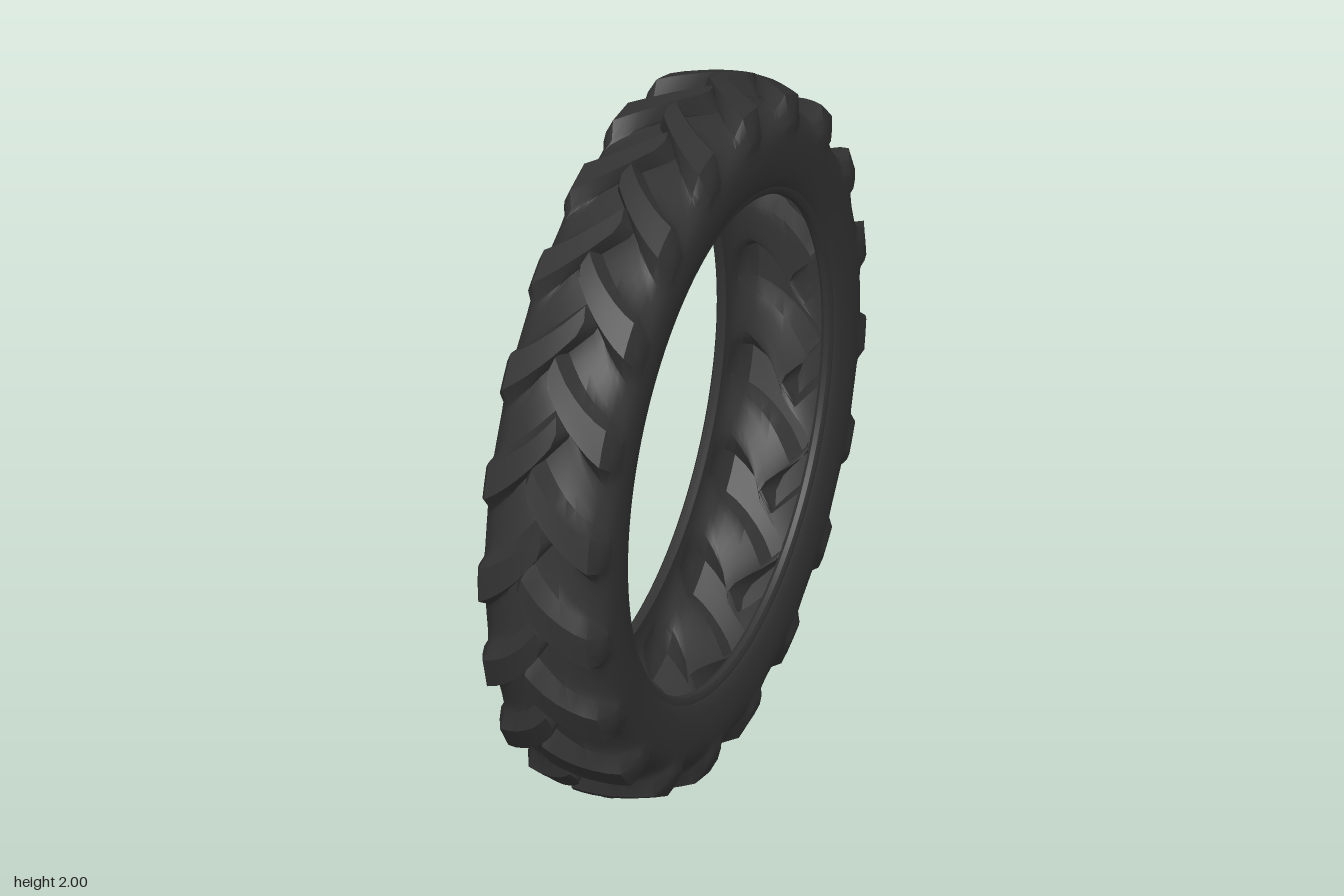
import * as THREE from 'three';
import { toCreasedNormals, mergeGeometries } from 'three/addons/utils/BufferGeometryUtils.js';

const LUGS = 20, PITCH = 360 / LUGS, SWEEP = 12, OVERLAP = 0.055;
const rad = THREE.MathUtils.degToRad, lerp = THREE.MathUtils.lerp;

// Cross-section from centre to bead: [carcass x, carcass r, lug x, lug r, lug width factor]
const ROWS = [
  [0, 0.937, 0, 0.937, 1],
  [0.012, 0.937, 0.02, 0.999, 1],
  [0.03, 0.936, 0.034, 0.999, 1],
  [0.055, 0.933, 0.055, 0.997, 1.02],
  [0.08, 0.929, 0.08, 0.993, 1.06],
  [0.105, 0.923, 0.107, 0.986, 1.1],
  [0.128, 0.915, 0.135, 0.978, 1.16],
  [0.146, 0.906, 0.162, 0.968, 1.22],
  [0.16, 0.896, 0.176, 0.93, 1.1],
  [0.171, 0.885, 0.187, 0.892, 0.9],
  [0.18, 0.87, 0.183, 0.872, 0.85],
  [0.185, 0.85, 0.185, 0.85, 1],
  [0.187, 0.82, 0.187, 0.82, 1],
  [0.186, 0.785, 0.186, 0.785, 1],
  [0.181, 0.75, 0.181, 0.75, 1],
  [0.174, 0.722, 0.174, 0.722, 1],
  [0.169, 0.716, 0.169, 0.716, 1],
  [0.169, 0.704, 0.169, 0.704, 1],
  [0.163, 0.695, 0.163, 0.695, 1],
  [0.15, 0.692, 0.15, 0.692, 1],
  [0.14, 0.7, 0.14, 0.7, 1],
];
// Across one pitch: angle from the lug centre and how far the surface is raised
const COLS = [
  [-9, 0], [-7.2, 0.04], [-5.6, 0.14], [-4, 0.32], [-2.5, 1],
  [0, 1], [2.5, 1], [4, 0.32], [5.6, 0.14], [7.2, 0.04],
];

// One half of the tyre shell; the grid is sheared so its lines follow the lugs
function halfTyre(side) {
  const n = LUGS * COLS.length, pos = [], index = [];
  const shoulder = side > 0 ? PITCH / 2 : 0;
  ROWS.forEach(([bx, br, tx, tr, width], i) => {
    const s = i > 8 ? 1 : bx / 0.16;
    const sweep = SWEEP * (1 - (1.25 * s - 0.25 * s * s));
    for (let j = 0; j < n; j++) {
      const k = j % COLS.length, lug = Math.floor(j / COLS.length);
      const [angle, raise] = COLS[k];
      const even = (k / COLS.length - 0.5) * PITCH;
      // lug flanks blend into the carcass; the blend fades out at the centre seam
      const lift = raise < 1 ? raise * Math.min(1, i / 4) : 1;
      const offset = i === 0 ? even : angle * (Math.abs(angle) < 5 ? width : 1);
      const t = rad(shoulder + lug * PITCH + offset - sweep);
      // wavy centre seam lets the lug noses interlock
      const seam = -side * OVERLAP * Math.cos(rad(even * LUGS)) * (1 - s);
      const r = lerp(br, tr, lift);
      pos.push(side * lerp(bx, tx, lift) + seam, 1 + r * Math.cos(t), r * Math.sin(t));
    }
  });
  for (let i = 0; i < ROWS.length - 1; i++) {
    for (let j = 0; j < n; j++) {
      const a = i * n + j, b = i * n + (j + 1) % n, c = b + n, d = a + n;
      if (side > 0) index.push(a, b, c, a, c, d);
      else index.push(a, c, b, a, d, c);
    }
  }
  const geo = new THREE.BufferGeometry();
  geo.setAttribute('position', new THREE.Float32BufferAttribute(pos, 3));
  geo.setIndex(index);
  return geo;
}

export function createModel() {
  const model = new THREE.Group();
  model.name = 'tractorTyre';
  const rubber = new THREE.MeshStandardMaterial({ color: 0x333333, side: THREE.DoubleSide });
  // both halves share one smoothed surface so the centre seam does not show
  const shell = toCreasedNormals(mergeGeometries([halfTyre(1), halfTyre(-1)]), 0.6);
  const tyre = new THREE.Mesh(shell, rubber);
  tyre.name = 'tyreShell';
  model.add(tyre);
  return model;
}
